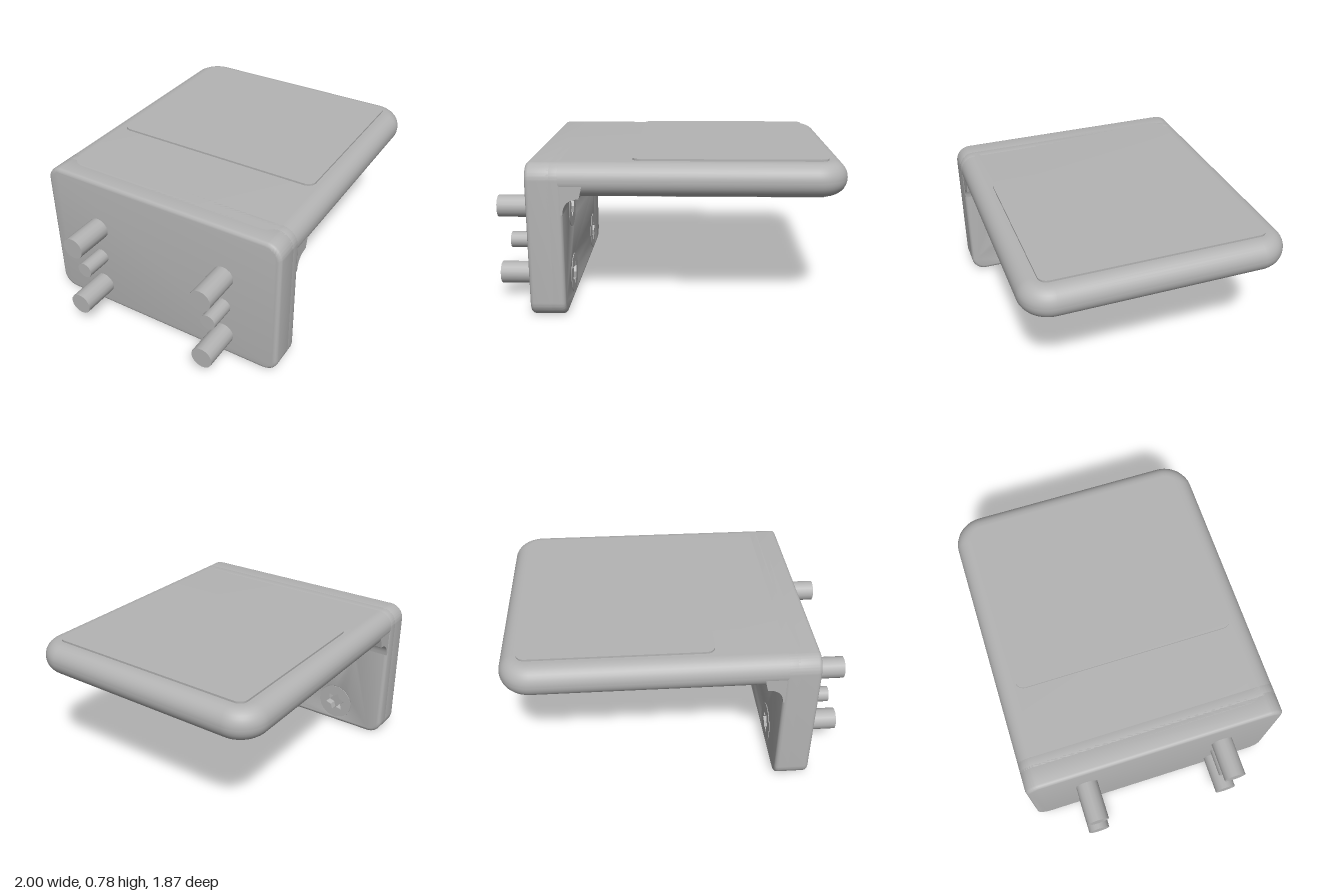
import * as THREE from 'three';
import { toCreasedNormals } from 'three/addons/utils/BufferGeometryUtils.js';

// Rounded rectangle outline
function roundedRect(x0, y0, x1, y1, r) {
  const s = new THREE.Shape();
  s.absarc(x1 - r, y0 + r, r, -Math.PI / 2, 0);
  s.absarc(x1 - r, y1 - r, r, 0, Math.PI / 2);
  s.absarc(x0 + r, y1 - r, r, Math.PI / 2, Math.PI);
  s.absarc(x0 + r, y0 + r, r, Math.PI, Math.PI * 1.5);
  s.closePath();
  return s;
}

export function createModel() {
  const model = new THREE.Group();
  model.name = 'bracket';
  const grey = new THREE.MeshStandardMaterial({ color: 0xb4b4b4 });
  grey.name = 'grey';

  // Everything is built square: x away from the wall, z along it; then turned
  const body = new THREE.Group();
  body.name = 'turnedBody';
  body.rotation.y = Math.PI / 6;
  model.add(body);

  const add = (name, geometry) => {
    const mesh = new THREE.Mesh(geometry, grey);
    mesh.name = name;
    body.add(mesh);
    return mesh;
  };
  const smooth = (g) => toCreasedNormals(g, 0.6);
  const half = 0.67, top = 0.77, bevel = 0.02;
  const rows = [0.13, 0.49], columns = [-0.37, 0.37];

  // Upright slab between two x positions, edges lightly rounded
  function upright(name, x0, x1, drilled) {
    const s = roundedRect(-half + bevel, bevel, half - bevel, top - bevel, 0.06);
    if (drilled) for (const y of rows) for (const z of columns) {
      s.holes.push(new THREE.Path().absarc(z, y, 0.109, 0, Math.PI * 2, true));
    }
    const g = new THREE.ExtrudeGeometry(s, {
      depth: x1 - x0 - 2 * bevel, bevelSize: bevel, bevelThickness: bevel, bevelSegments: 3, curveSegments: 10,
    });
    g.translate(0, 0, x0 + bevel);
    g.rotateY(Math.PI / 2);
    add(name, smooth(g));
  }
  upright('wallOuterLayer', -0.707, -0.57, false);
  upright('wallInnerLayer', -0.62, -0.53, true);

  // Plate with fully rounded rim
  const rim = 0.08;
  const plate = new THREE.ExtrudeGeometry(
    roundedRect(-0.7 + rim, -half + rim, 0.833 - rim, half - rim, 0.075),
    { depth: 0.005, bevelSize: rim, bevelThickness: rim, bevelSegments: 8, curveSegments: 8 });
  plate.rotateX(-Math.PI / 2);
  plate.translate(0, 0.605 + rim, 0);
  add('plate', smooth(plate));

  // Thin raised pad on both faces of the plate
  const pad = new THREE.ExtrudeGeometry(
    roundedRect(-0.205, -0.57, 0.742, 0.57, 0.045),
    { depth: 0.185, bevelEnabled: false, curveSegments: 6 });
  pad.rotateX(-Math.PI / 2);
  pad.translate(0, 0.595, 0);
  add('gripPads', smooth(pad));

  // Concave fillet under the plate
  const f = new THREE.Shape();
  f.moveTo(-0.56, 0.525);
  f.lineTo(-0.53, 0.525);
  f.quadraticCurveTo(-0.528, 0.603, -0.45, 0.605);
  f.lineTo(-0.43, 0.685);
  f.lineTo(-0.56, 0.685);
  f.closePath();
  const fillet = new THREE.ExtrudeGeometry(f, { depth: 2 * half - 0.006, bevelEnabled: false, curveSegments: 8 });
  fillet.translate(0, 0, -half + 0.003);
  add('cornerFillet', smooth(fillet));

  // Pin sticking out of the wall's outer face
  function pin(name, r, tip, y, z) {
    const length = -0.65 - tip;
    const g = new THREE.CylinderGeometry(r, r, length, 16);
    g.rotateZ(Math.PI / 2);
    g.translate(tip + length / 2, y, z);
    add(name, g);
  }

  // Screw head with a six-pointed socket, set into the inner face
  function screwHead(y, z) {
    const s = new THREE.Shape().absarc(0, 0, 0.103, 0, Math.PI * 2);
    const star = [];
    for (let i = 0; i < 12; i++) {
      const r = i % 2 ? 0.037 : 0.06, a = -i * Math.PI / 6 + 0.25;
      star.push(new THREE.Vector2(r * Math.cos(a), r * Math.sin(a)));
    }
    s.holes.push(new THREE.Path(star));
    const g = new THREE.ExtrudeGeometry(s, { depth: 0.072, bevelEnabled: false, curveSegments: 14 });
    g.rotateY(Math.PI / 2);
    g.translate(-0.6, y, z);
    add('screwHead', smooth(g));
  }

  for (const z of columns) {
    for (const y of rows) {
      pin('screwShank', 0.057, -0.907, y, z);
      screwHead(y, z);
    }
    pin('locatingPin', 0.041, -0.847, 0.31, z);
  }
  return model;
}
